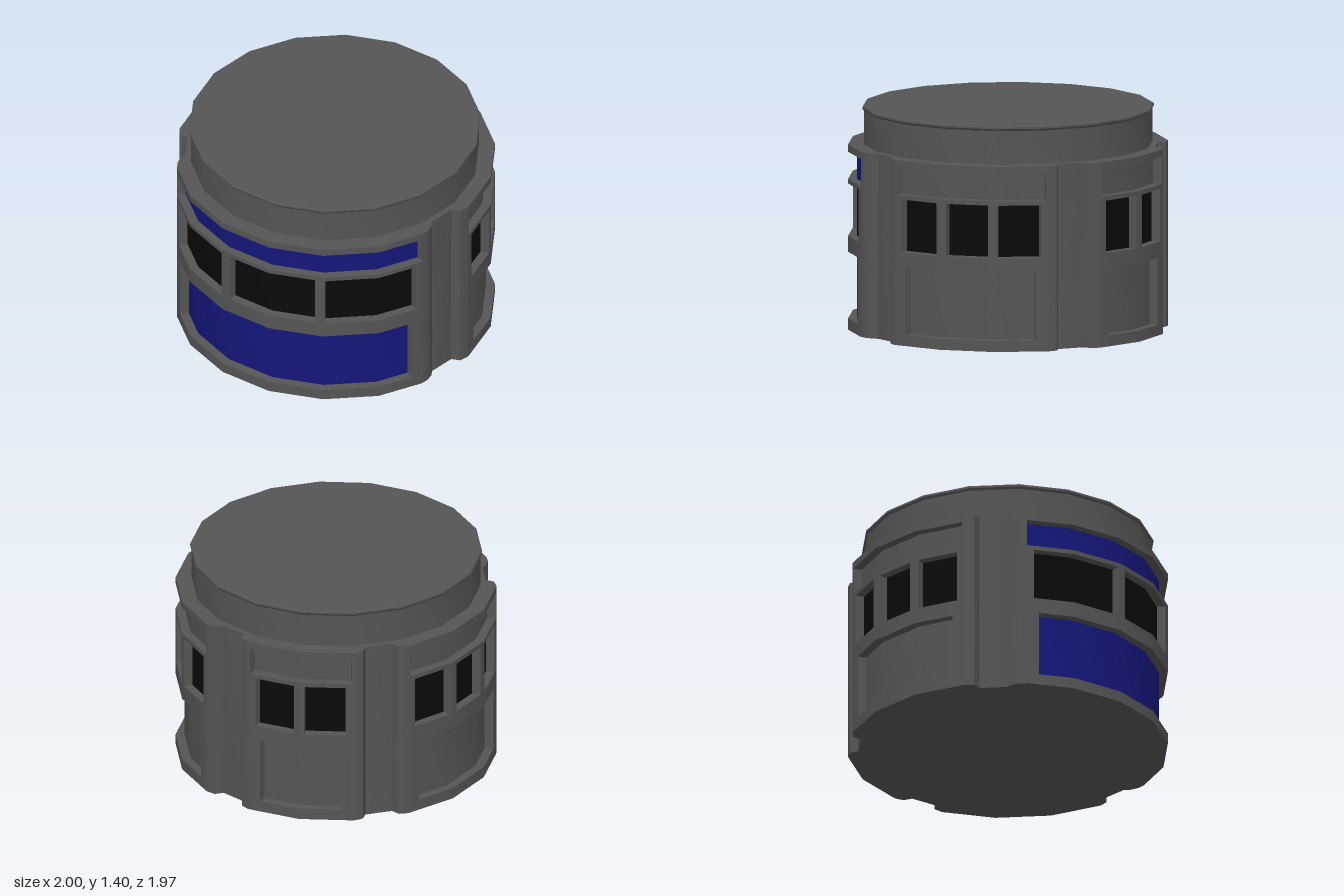
import * as THREE from 'three';
import { mergeGeometries, toCreasedNormals } from 'three/addons/utils/BufferGeometryUtils.js';

const SIDES = 18, STEP = 360 / SIDES, CORE = 0.94, TOP = 1.165;
const rad = THREE.MathUtils.degToRad;

const paint = (color) => new THREE.MeshStandardMaterial({ color });
const wallMat = paint(0x555555), blueMat = paint(0x14177a), glassMat = paint(0x0a0a0a);

// Point on an 18-sided ring, angle in degrees from +x towards +z
function ringPoint(angle, r) {
  const off = ((angle % STEP) + STEP) % STEP - STEP / 2;
  const k = r * Math.cos(rad(STEP / 2)) / Math.cos(rad(off));
  return new THREE.Vector2(k * Math.cos(rad(angle)), -k * Math.sin(rad(angle)));
}

// Curved block between two angles and two heights; radius is a function of angle
function arcBlock(a0, a1, y0, y1, radius, extra = []) {
  const angles = [a0, a1, ...extra.filter((a) => a > a0 + 0.01 && a < a1 - 0.01)];
  for (let a = Math.ceil(a0 / STEP) * STEP; a < a1; a += STEP) if (a > a0) angles.push(a);
  angles.sort((a, b) => a - b);
  const outer = angles.map((a) => ringPoint(a, radius(a)));
  const inner = angles.map((a) => ringPoint(a, 0.9)).reverse();
  const geo = new THREE.ExtrudeGeometry(new THREE.Shape([...outer, ...inner]),
    { depth: y1 - y0, bevelEnabled: false });
  return geo.rotateX(-Math.PI / 2).translate(0, y0, 0);
}

function addMesh(parent, name, geo, mat) {
  const mesh = new THREE.Mesh(toCreasedNormals(geo, 0.6), mat);
  mesh.name = name;
  parent.add(mesh);
}

// One projecting bay: rails, posts and recessed panels in three rows
function makeBay({ name, mid, half, upper, lower, win, count, corner, bevel, panelMat }) {
  const bay = new THREE.Group();
  bay.name = name;
  const start = mid - half, end = mid + half;

  // Bay ends are chamfered back to the core wall
  const radius = (a) => {
    const d = Math.min(a - start, end - a), b0 = bevel * 0.28;
    if (d < b0) return THREE.MathUtils.lerp(0.935, corner, Math.max(d, 0) / b0);
    return THREE.MathUtils.lerp(corner, 1, Math.min((d - b0) / (bevel - b0), 1));
  };
  const extra = [start + bevel * 0.28, start + bevel, end - bevel, end - bevel * 0.28];

  // Window openings, evenly spread with narrow mullions
  const mullion = 3.6, w = (2 * win - mullion * (count - 1)) / count;
  const windows = Array.from({ length: count }, (_, i) => {
    const a = mid - win + i * (w + mullion);
    return [a, a + w];
  });

  const rows = [
    { part: 'lowerPanel', y: [0.07, 0.49], open: [[mid - lower, mid + lower]], mat: panelMat },
    { part: 'window', y: [0.59, 0.92], open: windows, mat: glassMat },
    { part: 'upperPanel', y: [0.948, 1.12], open: [[mid - upper, mid + upper]], mat: panelMat },
  ];

  const frame = [];
  let y = 0;
  for (const row of rows) {
    frame.push(arcBlock(start, end, y, row.y[0], radius, extra));
    let a = start;
    for (const [o0, o1] of row.open) {
      frame.push(arcBlock(a, o0, ...row.y, radius, extra));
      addMesh(bay, row.part, arcBlock(o0, o1, ...row.y, () => CORE + 0.004), row.mat);
      a = o1;
    }
    frame.push(arcBlock(a, end, ...row.y, radius, extra));
    y = row.y[1];
  }
  frame.push(arcBlock(start, end, y, TOP, radius, extra));
  addMesh(bay, 'bayFrame', mergeGeometries(frame), wallMat);
  return bay;
}

export function createModel() {
  const model = new THREE.Group();
  model.name = 'roundKiosk';

  // Core wall with the narrower roof drum and its small lip
  const profile = [[0, 0], [CORE, 0], [CORE, TOP], [0.9, TOP], [0.9, 1.375],
    [0.91, 1.388], [0.91, 1.4], [0.904, 1.405], [0, 1.405]].map(([x, y]) => new THREE.Vector2(x, y));
  addMesh(model, 'coreAndRoof', new THREE.LatheGeometry(profile, SIDES, rad(STEP / 2)), wallMat);

  // Wide front bay, two three-window side bays and a two-window back bay
  const plain = { corner: 0.99, bevel: 5.7, panelMat: wallMat };
  const side = { ...plain, half: 34.8, upper: 29, lower: 25.2, win: 27, count: 3 };
  model.add(
    makeBay({ name: 'frontBay', mid: 80, half: 65.2, upper: 57.5, lower: 53.2, win: 55,
      count: 3, corner: 0.968, bevel: 8, panelMat: blueMat }),
    makeBay({ ...side, name: 'leftBay', mid: 330 }),
    makeBay({ ...side, name: 'rightBay', mid: 190 }),
    makeBay({ ...plain, name: 'backBay', mid: 260, half: 24.8, upper: 19, lower: 15.2, win: 17, count: 2 }),
  );
  return model;
}
